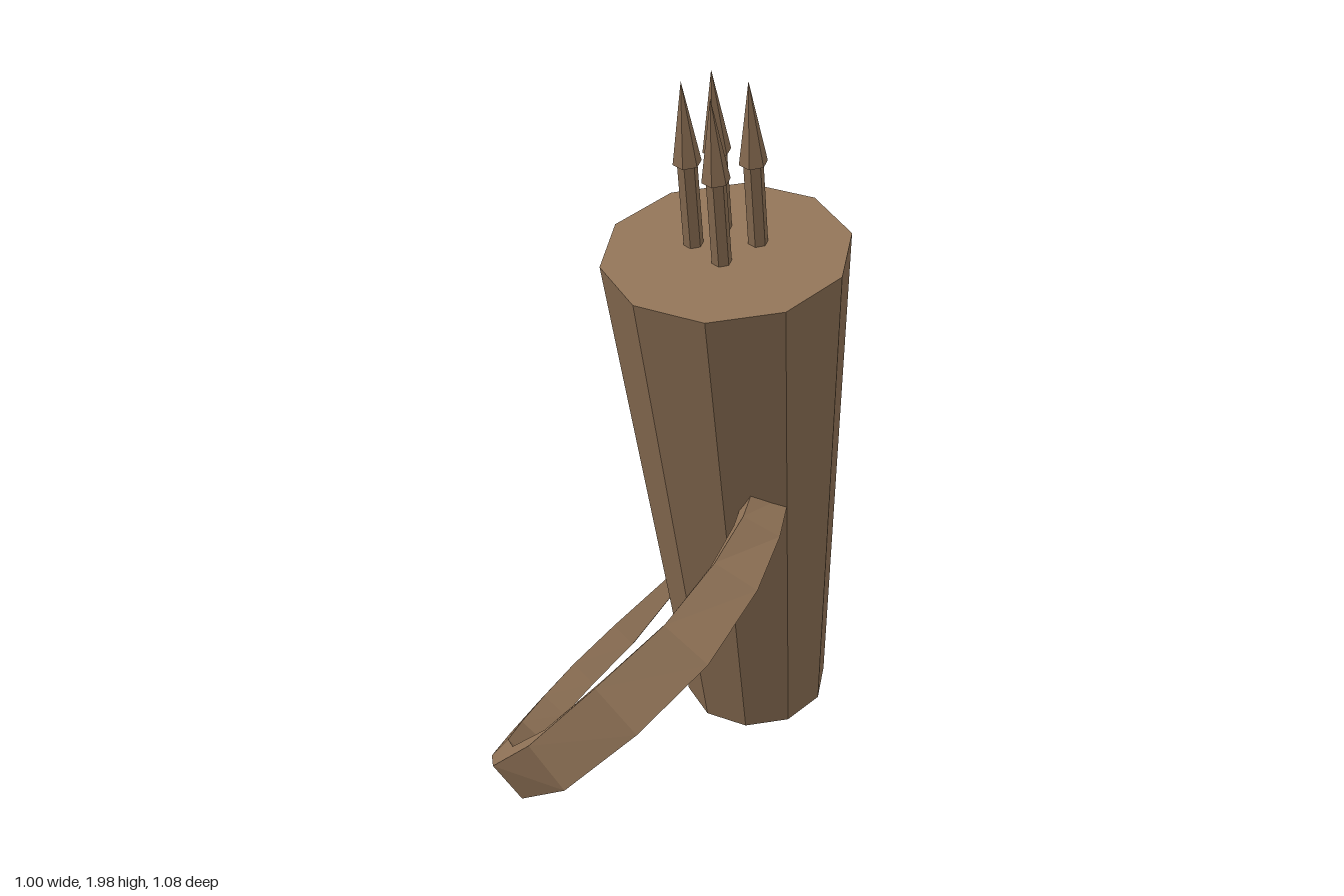
import * as THREE from 'three';

const leather = new THREE.MeshStandardMaterial({ color: 0x8f7256 });
leather.name = 'brown leather';
leather.flatShading = true;

const V = (x, y, z) => new THREE.Vector3(x, y, z);
const bottom = V(0.104, 0.152, -0.368);
const top = V(0.18, 1.525, 0.178);
const axis = top.clone().sub(bottom).normalize();
const lean = new THREE.Quaternion().setFromUnitVectors(V(0, 1, 0), axis);

function addMesh(parent, name, geometry) {
  const mesh = new THREE.Mesh(geometry, leather);
  mesh.name = name;
  parent.add(mesh);
  return mesh;
}

// Rectangular band swept along stations [x, y, z, width, thickness]
function bandGeometry(stations) {
  const points = stations.map(([x, y, z]) => V(x, y, z));
  const corners = [[1, -1], [1, 1], [-1, 1], [-1, -1]];
  const positions = [], index = [];
  points.forEach((p, i) => {
    const tangent = points[Math.min(i + 1, points.length - 1)].clone()
      .sub(points[Math.max(i - 1, 0)]).normalize();
    const across = V(0.74, -0.67, 0);
    across.addScaledVector(tangent, -across.dot(tangent)).normalize();
    const radial = tangent.clone().cross(across);
    for (const [a, b] of corners) {
      const c = p.clone()
        .addScaledVector(across, a * stations[i][3] / 2)
        .addScaledVector(radial, b * stations[i][4] / 2);
      positions.push(c.x, c.y, c.z);
    }
  });
  for (let i = 0; i < points.length - 1; i++) {
    for (let k = 0; k < 4; k++) {
      const a = i * 4 + k, b = i * 4 + (k + 1) % 4;
      index.push(a, b, b + 4, a, b + 4, a + 4);
    }
  }
  const e = (points.length - 1) * 4;
  index.push(0, 2, 1, 0, 3, 2, e, e + 1, e + 2, e, e + 2, e + 3);
  const indexed = new THREE.BufferGeometry();
  indexed.setAttribute('position', new THREE.Float32BufferAttribute(positions, 3));
  indexed.setIndex(index);
  const geometry = indexed.toNonIndexed();
  geometry.computeVertexNormals();
  return geometry;
}

export function createModel() {
  const group = new THREE.Group();
  group.name = 'quiver';

  // Tapered ten-sided case, leaning forward
  const height = top.distanceTo(bottom);
  const twist = THREE.MathUtils.degToRad(7.8);
  const body = addMesh(group, 'case',
    new THREE.CylinderGeometry(0.324, 0.198, height, 10, 1, false, twist));
  body.position.copy(bottom).lerp(top, 0.5);
  body.quaternion.copy(lean);

  // Arrows, placed by their tips
  const tips = [[0.113, 1.97, 0.34], [0.163, 1.99, 0.255], [0.208, 1.94, 0.4], [0.273, 1.972, 0.3]];
  const headLength = 0.23, shaftLength = 0.3;
  for (const tip of tips) {
    const arrow = new THREE.Group();
    arrow.name = 'arrow';
    arrow.position.set(...tip);
    arrow.quaternion.copy(lean);
    addMesh(arrow, 'arrowHead', new THREE.ConeGeometry(0.037, headLength, 6))
      .position.y = -headLength / 2;
    addMesh(arrow, 'arrowShaft', new THREE.CylinderGeometry(0.026, 0.026, shaftLength, 6))
      .position.y = -headLength - shaftLength / 2 + 0.01;
    group.add(arrow);
  }

  // Shoulder strap looping from the front of the case round to the back
  addMesh(group, 'strap', bandGeometry([
    [0.27, 0.87, 0.08, 0.10, 0.05],
    [0.28, 0.80, 0.22, 0.11, 0.06],
    [0.25, 0.70, 0.32, 0.13, 0.07],
    [0.16, 0.55, 0.43, 0.15, 0.08],
    [0.00, 0.38, 0.49, 0.16, 0.08],
    [-0.19, 0.20, 0.475, 0.15, 0.08],
    [-0.34, 0.10, 0.37, 0.12, 0.075],
    [-0.43, 0.06, 0.20, 0.085, 0.065],
    [-0.45, 0.055, 0.04, 0.08, 0.06],
    [-0.42, 0.10, -0.08, 0.08, 0.06],
    [-0.355, 0.18, -0.165, 0.08, 0.06],
    [-0.255, 0.29, -0.24, 0.075, 0.055],
    [-0.06, 0.52, -0.325, 0.025, 0.02],
  ]));

  return group;
}
